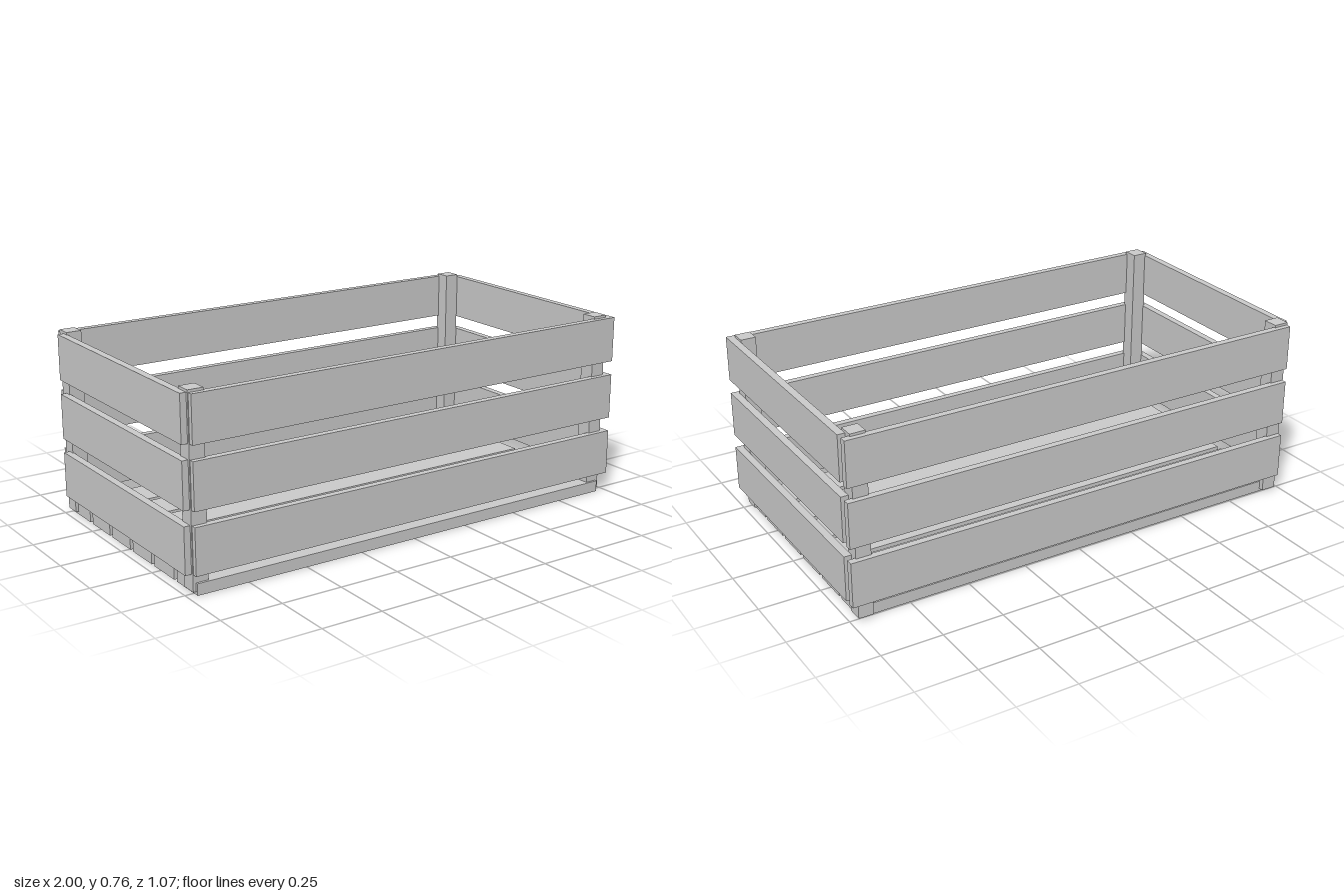
import * as THREE from 'three';

const material = new THREE.MeshStandardMaterial({ color: 0xcccccc, flatShading: true });

// Box given by its limits along each axis
function board(name, [x0, x1], [y0, y1], [z0, z1]) {
  const mesh = new THREE.Mesh(new THREE.BoxGeometry(x1 - x0, y1 - y0, z1 - z0), material);
  mesh.position.set((x0 + x1) / 2, (y0 + y1) / 2, (z0 + z1) / 2);
  mesh.name = name;
  return mesh;
}

export function createModel() {
  const crate = new THREE.Group();
  crate.name = 'slattedCrate';

  // Floor slats running along the length
  for (let i = 0; i < 6; i++) {
    const z = -0.496 + i * 0.1742;
    crate.add(board('floorSlat', [-0.963, 0.957], [0, 0.046], [z, z + 0.152]));
  }

  // Corner posts
  for (const x of [[-0.975, -0.912], [0.908, 0.97]])
    for (const z of [[-0.516, -0.453], [0.453, 0.517]])
      crate.add(board('cornerPost', x, [0.012, 0.759], z));

  // Three rows of wall planks
  for (let row = 0; row < 3; row++) {
    const y0 = 0.078 + row * 0.243;
    const y = [y0, y0 + 0.185];
    crate.add(
      board('frontPlank', [-0.972, 1], y, [0.508, 0.537]),
      board('backPlank', [-0.972, 1], y, [-0.537, -0.508]),
      board('leftPlank', [0.97, 1], y, [-0.481, 0.508]),
      board('rightPlank', [-1, -0.97], y, [-0.481, 0.508])
    );
  }
  return crate;
}
